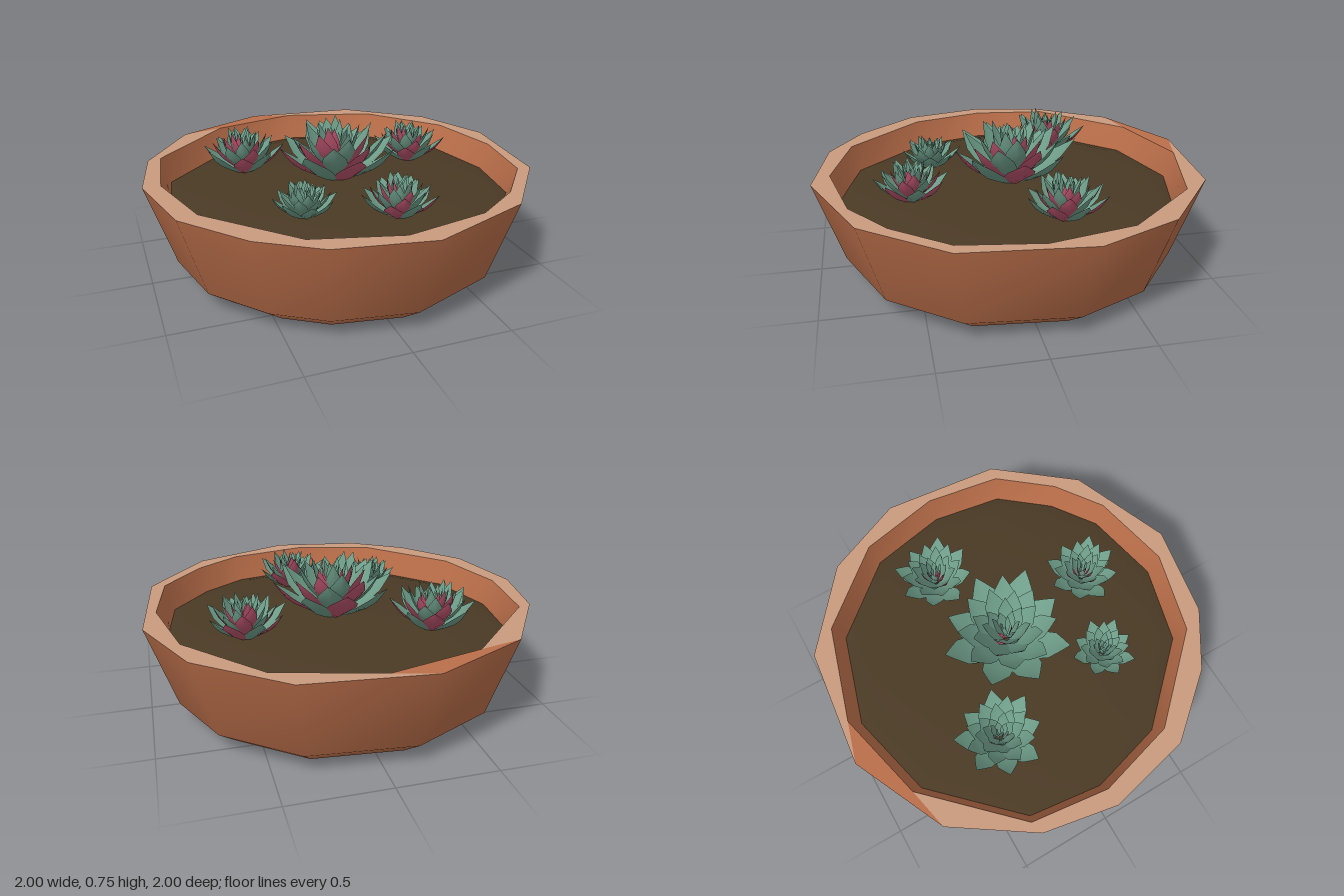
import * as THREE from 'three';
import { mergeGeometries } from 'three/addons/utils/BufferGeometryUtils.js';

const mat = (name, color, side = THREE.FrontSide) => {
  const m = new THREE.MeshStandardMaterial({ color, side });
  m.name = name;
  return m;
};

// Uneven hand-cut outlines of the bowl mouth as [x, z]
const OUTER = [[-0.19, -1], [0.42, -0.94], [0.82, -0.62], [1, -0.21], [0.94, 0.4], [0.63, 0.79], [0.11, 1],
  [-0.36, 0.92], [-0.64, 0.74], [-0.9, 0.43], [-1, 0], [-0.93, -0.38], [-0.67, -0.77]];
const INNER = [[0.02, -0.94], [0.51, -0.8], [0.84, -0.42], [0.93, 0], [0.87, 0.39], [0.66, 0.65], [0.42, 0.82],
  [0, 0.91], [-0.42, 0.8], [-0.8, 0.4], [-0.91, 0], [-0.86, -0.4], [-0.45, -0.82]];
const RIM_Y = 0.53;

function makeGeometry(positions, index) {
  const g = new THREE.BufferGeometry();
  g.setAttribute('position', new THREE.Float32BufferAttribute(positions, 3));
  g.setIndex(index);
  g.computeVertexNormals();
  return g;
}

// Skin through scaled copies of one outline; levels are [scale, y]
function loft(outline, levels) {
  const n = outline.length, pos = [], idx = [];
  for (const [s, y] of levels) for (const [x, z] of outline) pos.push(x * s, y, z * s);
  for (let l = 0; l < levels.length - 1; l++) {
    for (let i = 0; i < n; i++) {
      const a = l * n + i, b = l * n + (i + 1) % n;
      idx.push(a, a + n, b, b, a + n, b + n);
    }
  }
  return makeGeometry(pos, idx);
}

function flatPlate(points, y) {
  const shape = new THREE.Shape(points.map(([x, z]) => new THREE.Vector2(x, -z)));
  return new THREE.ShapeGeometry(shape).rotateX(-Math.PI / 2).translate(0, y, 0);
}

// Pointed leaf growing outward and up: upper face or keeled underside
function leafSide({ angle, reach, base, rise, width }, under) {
  const profile = [[0, 0.4], [0.3, 0.72], [0.55, 1], [0.72, 0.92], [0.88, 0.42], [1, 0]];
  const start = 0.012, pos = [], idx = [];
  const c = Math.cos(angle), s = Math.sin(angle);
  for (const [t, w] of profile) {
    const r = start + (reach - start) * t;
    const y = base + (rise - base) * (0.75 * t + 0.25 * t * t);
    const tr = reach - start, ty = (rise - base) * (0.75 + 0.5 * t), len = Math.hypot(tr, ty);
    const depth = (under ? -0.42 : -0.16) * width * w;
    for (const k of [-1, 0, 1]) {
      const d = k === 0 ? depth : 0, h = k * w * width;
      const rr = r - (ty / len) * d, yy = y + (tr / len) * d;
      pos.push(rr * c - h * s, yy, rr * s + h * c);
    }
  }
  for (let i = 0; i < profile.length - 1; i++) {
    for (let k = 0; k < 2; k++) {
      const a = i * 3 + k, b = a + 1, d = a + 3, e = a + 4;
      if (under) idx.push(a, d, b, b, d, e);
      else idx.push(a, b, d, b, e, d);
    }
  }
  return makeGeometry(pos, idx);
}

// Leaf whorls from outside in: count, reach, base height, tip height, half width
const WHORLS = [
  [8, 0.32, 0.0, 0.21, 0.078],
  [8, 0.25, 0.02, 0.25, 0.066],
  [8, 0.18, 0.04, 0.28, 0.054],
  [7, 0.115, 0.06, 0.3, 0.04],
  [6, 0.065, 0.09, 0.29, 0.026],
  [4, 0.03, 0.12, 0.27, 0.014],
];

function rosette(name, size, height, blush, turn, mats) {
  const green = [], pink = [];
  WHORLS.forEach(([count, reach, base, rise, width], ring) => {
    for (let i = 0; i < count; i++) {
      const vary = Math.sin(i * 2.4 + ring * 1.7 + turn);
      const leaf = {
        angle: turn + (i + ring * 0.5) * Math.PI * 2 / count + vary * 0.06,
        reach: reach * size * (1 + vary * 0.06),
        base: base * height,
        rise: rise * height * (1 + vary * 0.07),
        width: width * size,
      };
      green.push(leafSide(leaf, false));
      const blushed = blush && (i + ring) % 2 === 0;
      (blushed ? pink : green).push(leafSide(leaf, true));
    }
  });
  const plant = new THREE.Group();
  plant.name = name;
  const add = (label, parts, material) => {
    const mesh = new THREE.Mesh(mergeGeometries(parts), material);
    mesh.name = label;
    plant.add(mesh);
  };
  add('leaves', green, mats.leaf);
  if (pink.length) add('blushedUndersides', pink, mats.blush);
  return plant;
}

export function createModel() {
  const group = new THREE.Group();
  group.name = 'succulentBowl';
  const mats = {
    clay: mat('terracotta', 0xbb6f4a),
    rim: mat('pale rim clay', 0xc99b7e),
    soil: mat('soil', 0x4a3a25),
    leaf: mat('sage leaf', 0x6f9e8a, THREE.DoubleSide),
    blush: mat('pink blush', 0xb9536c, THREE.DoubleSide),
  };
  const add = (name, geometry, material) => {
    const mesh = new THREE.Mesh(geometry, material);
    mesh.name = name;
    group.add(mesh);
  };

  // Bowl: outside with base, inside wall, and flat lip with one bare clay stretch
  add('bowlOutside', loft(OUTER, [[0, 0], [0.73, 0], [0.86, 0.1], [1, RIM_Y]]), mats.clay);
  add('bowlInside', loft(INNER, [[1, RIM_Y], [0.94, 0.36]]), mats.clay);
  const lastIn = INNER[INNER.length - 1], lastOut = OUTER[OUTER.length - 1];
  add('rim', flatPlate([...OUTER, ...[...INNER].reverse()], RIM_Y), mats.rim);
  add('bareRim', flatPlate([lastOut, OUTER[0], INNER[0], lastIn], RIM_Y), mats.clay);

  // Gently mounded soil
  add('soil', loft(INNER, [[0.96, 0.39], [0.85, 0.415], [0.5, 0.435], [0, 0.44]]), mats.soil);

  // Rosettes: name, x, y, z, size, height, blushed, turn
  const plants = [
    ['centreRosette', 0.02, 0.435, -0.03, 1, 1, true, 0.0],
    ['backRightRosette', -0.42, 0.425, -0.32, 0.68, 0.77, true, 0.3],
    ['backLeftRosette', 0.51, 0.425, -0.19, 0.63, 0.7, true, 0.55],
    ['frontRightRosette', -0.29, 0.425, 0.37, 0.5, 0.55, false, 0.1],
    ['frontLeftRosette', 0.14, 0.42, 0.51, 0.59, 0.66, true, 0.7],
  ];
  for (const [name, x, y, z, size, height, blush, turn] of plants) {
    const plant = rosette(name, size, height, blush, turn, mats);
    plant.position.set(x, y, z);
    group.add(plant);
  }
  return group;
}
